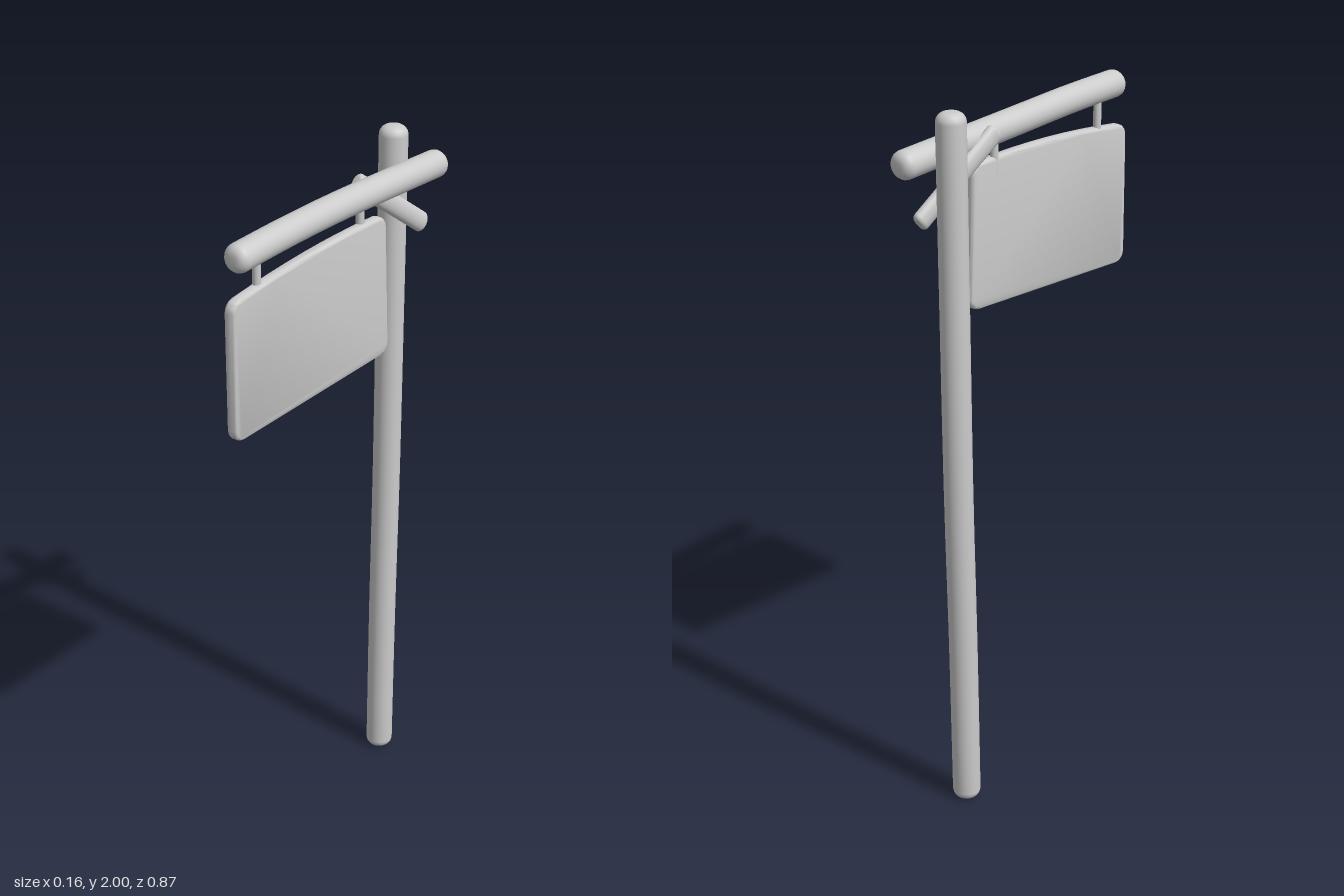
import * as THREE from 'three';
import { mergeVertices, toCreasedNormals } from 'three/addons/utils/BufferGeometryUtils.js';

const material = new THREE.MeshStandardMaterial({ color: 0xcccccc });

// Round timber with softened ends that follows a gently bent path.
function timber(name, points, radius, flatten = 1, bevel = 0.025) {
  const curve = new THREE.CatmullRomCurve3(points.map((p) => new THREE.Vector3(...p)));
  const length = curve.getLength();
  const profile = [new THREE.Vector2(0, 0)];
  const inner = radius - bevel;
  for (let i = 0; i <= 4; i++) {
    const a = (i / 4) * Math.PI / 2;
    profile.push(new THREE.Vector2(inner + bevel * Math.sin(a), bevel * (1 - Math.cos(a))));
  }
  for (let i = 1; i < 12; i++) {
    profile.push(new THREE.Vector2(radius, bevel + (length - 2 * bevel) * i / 12));
  }
  for (let i = 4; i >= 0; i--) {
    const a = (i / 4) * Math.PI / 2;
    profile.push(new THREE.Vector2(inner + bevel * Math.sin(a), length - bevel * (1 - Math.cos(a))));
  }
  profile.push(new THREE.Vector2(0, length));

  let geometry = new THREE.LatheGeometry(profile, 24);
  geometry.deleteAttribute('uv');
  geometry.deleteAttribute('normal');
  geometry = mergeVertices(geometry, 1e-5);

  const axis = curve.getPoint(1).sub(curve.getPoint(0)).normalize();
  const side = new THREE.Vector3(1, 0, 0).addScaledVector(axis, -axis.x).normalize();
  const up = side.clone().cross(axis);
  const pos = geometry.attributes.position;
  for (let i = 0; i < pos.count; i++) {
    const p = curve.getPointAt(THREE.MathUtils.clamp(pos.getY(i) / length, 0, 1));
    p.addScaledVector(side, pos.getX(i) * flatten).addScaledVector(up, pos.getZ(i));
    pos.setXYZ(i, p.x, p.y, p.z);
  }
  geometry.computeVertexNormals();
  const mesh = new THREE.Mesh(geometry, material);
  mesh.name = name;
  return mesh;
}

// Slightly crooked board with rounded corners and softened edges.
function signBoard() {
  const bevel = 0.01;
  const corners = [[-0.175, 1.43], [-0.162, 1.81], [0.425, 1.78], [0.415, 1.405]]
    .map(([z, y]) => new THREE.Vector2(z, y));
  const shape = new THREE.Shape();
  corners.forEach((c, i) => {
    const toward = (other) => c.clone().add(other.clone().sub(c).setLength(0.028));
    const a = toward(corners[(i + 3) % 4]);
    const b = toward(corners[(i + 1) % 4]);
    if (i === 0) shape.moveTo(a.x, a.y);
    else if (i === 2) shape.quadraticCurveTo(0.13, 1.817, a.x, a.y); // bowed top edge
    else shape.lineTo(a.x, a.y);
    shape.quadraticCurveTo(c.x, c.y, b.x, b.y);
  });
  shape.closePath();

  const geometry = new THREE.ExtrudeGeometry(shape, {
    depth: 0.012, bevelEnabled: true, bevelSize: bevel, bevelThickness: bevel,
    bevelSegments: 4, curveSegments: 8,
  });
  geometry.translate(0, 0, -0.006).rotateY(-Math.PI / 2);
  // Lean and twist the board a little off the vertical plane
  const pos = geometry.attributes.position;
  for (let i = 0; i < pos.count; i++) {
    const back = (0.435 - pos.getZ(i)) / 0.62;
    const high = (pos.getY(i) - 1.4) / 0.4;
    pos.setX(i, pos.getX(i) + 0.017 + 0.01 * high + back * (0.023 - 0.013 * high));
  }
  const mesh = new THREE.Mesh(toCreasedNormals(geometry, 0.6), material);
  mesh.name = 'signBoard';
  return mesh;
}

export function createModel() {
  const group = new THREE.Group();
  group.name = 'hangingSign';

  group.add(timber('post', [
    [-0.04, 0, -0.297], [-0.04, 0.5, -0.303], [-0.039, 0.95, -0.311],
    [-0.036, 1.5, -0.312], [-0.033, 2, -0.312],
  ], 0.039));

  group.add(timber('beam', [
    [0.03, 1.876, -0.436], [0.028, 1.886, -0.2], [0.028, 1.894, 0],
    [0.034, 1.9, 0.22], [0.04, 1.9, 0.43],
  ], 0.038));

  // Diagonal brace passing from the post's side to behind the beam
  group.add(timber('brace', [
    [0.02, 1.717, -0.378], [0.002, 1.81, -0.255], [-0.014, 1.905, -0.125],
  ], 0.028, 0.65, 0.012));

  // Pegs hanging the board from the beam
  [[0.325, 0.026], [-0.085, 0.03]].forEach(([z, x], i) => {
    const peg = new THREE.Mesh(new THREE.CylinderGeometry(0.011, 0.011, 0.12, 12), material);
    peg.position.set(x, 1.83, z);
    peg.name = i ? 'backPeg' : 'frontPeg';
    group.add(peg);
  });

  group.add(signBoard());
  return group;
}
